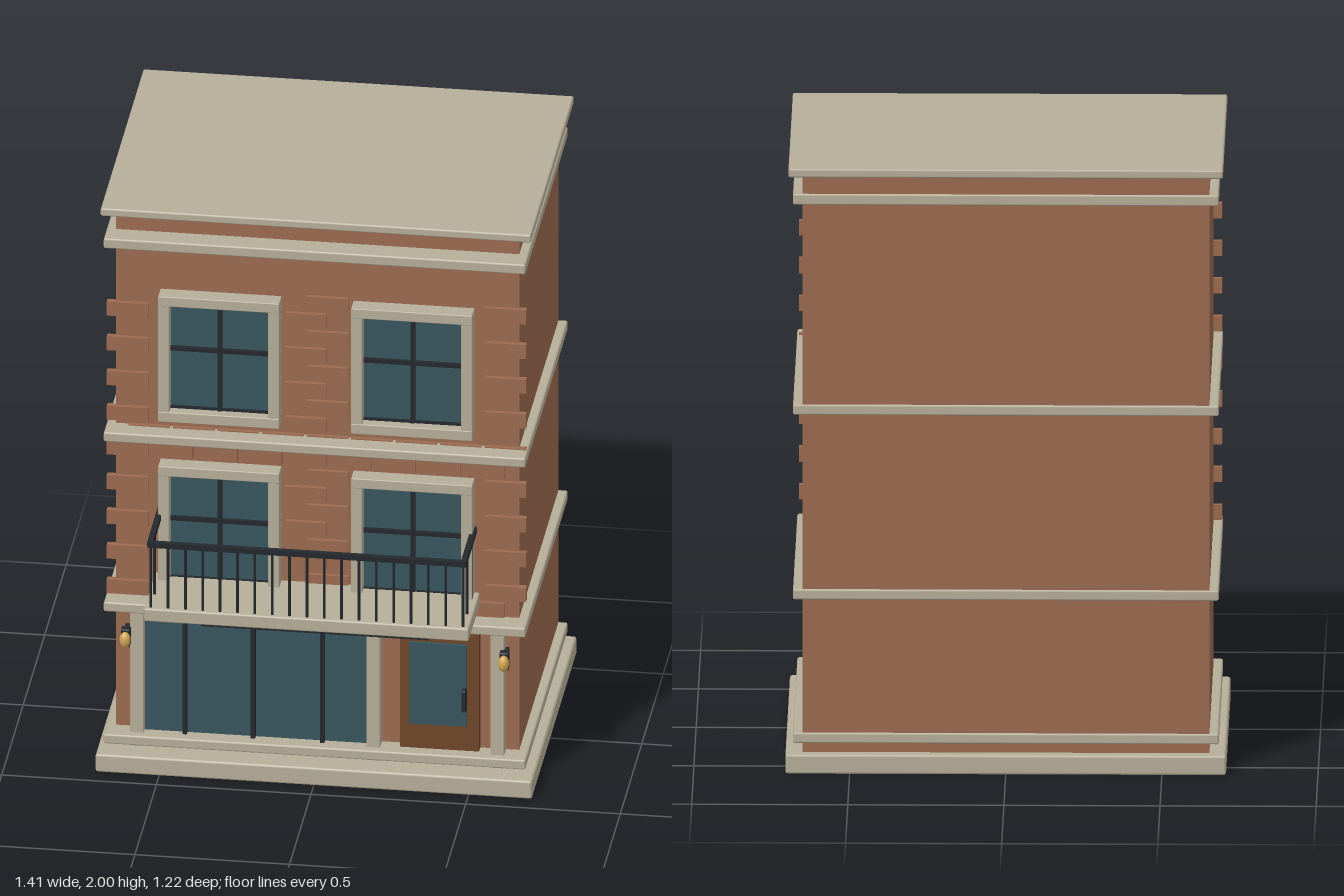
import * as THREE from 'three';
import { RoundedBoxGeometry } from 'three/addons/geometries/RoundedBoxGeometry.js';

const mat = (color) => new THREE.MeshStandardMaterial({ color });

export function createModel() {
  const brick = mat(0x9c6b50), stone = mat(0xb6ae99), glass = mat(0x38555e);
  const metal = mat(0x23292d), wood = mat(0x6e4729), gold = mat(0xd2a650);
  const root = new THREE.Group();
  root.name = 'townhouse';

  const group = (name, parent = root) => {
    const g = new THREE.Group();
    g.name = name;
    parent.add(g);
    return g;
  };
  const add = (parent, name, geometry, material, x = 0, y = 0, z = 0) => {
    const m = new THREE.Mesh(geometry, material);
    m.name = name;
    m.position.set(x, y, z);
    parent.add(m);
    return m;
  };
  // Box given by its extents; a bevel gives softened edges
  const box = (parent, name, material, [x0, x1], [y0, y1], [z0, z1], bevel = 0) => {
    const s = [x1 - x0, y1 - y0, z1 - z0];
    const geo = bevel ? new RoundedBoxGeometry(...s, 1, bevel) : new THREE.BoxGeometry(...s);
    return add(parent, name, geo, material, (x0 + x1) / 2, (y0 + y1) / 2, (z0 + z1) / 2);
  };

  // Main volume, plinth, string courses and roof
  box(root, 'walls', brick, [-0.652, 0.652], [0.05, 1.98], [-0.565, 0.346]);
  box(root, 'plinth', stone, [-0.706, 0.706], [0, 0.064], [-0.605, 0.44], 0.008);
  for (const [y0, y1] of [[0.094, 0.128], [0.568, 0.602], [1.178, 1.212], [1.872, 1.908]])
    box(root, 'stringCourse', stone, [-0.682, 0.682], [y0, y1], [-0.572, 0.42], 0.006);
  box(root, 'roofCap', stone, [-0.696, 0.696], [1.972, 2], [-0.61, 0.39], 0.006);

  // Raised facing bricks in staggered rows, left out around the windows
  const bricks = group('facingBricks');
  const brickGeo = new THREE.BoxGeometry(0.134, 0.05, 0.02);
  for (let row = 0; row < 18; row++) {
    const y = 0.605 + row * 0.0623;
    const besideWindow = (row > 0 && y < 1.09) || y > 1.21;
    for (let i = 0; i < 9; i++) {
      const x0 = -0.68 + (row % 2) * 0.07 + i * 0.144, x1 = x0 + 0.134;
      const hits = [-0.312, 0.312].some((c) => x1 > c - 0.196 && x0 < c + 0.196);
      if (!(besideWindow && hits)) add(bricks, 'brick', brickGeo, brick, x0 + 0.067, y + 0.025, 0.35);
    }
  }

  // Four framed windows with cross bars
  for (const y of [0.645, 1.255]) for (const x of [-0.312, 0.312]) {
    const w = group('window');
    w.position.set(x, y, 0);
    const z = [0.346, 0.404];
    box(w, 'windowPane', glass, [-0.162, 0.162], [0.034, 0.418], [0.34, 0.364]);
    for (const s of [-1, 1])
      box(w, 'frameSide', stone, [s * 0.178 - 0.018, s * 0.178 + 0.018], [0.03, 0.42], z, 0.003);
    box(w, 'frameHead', stone, [-0.196, 0.196], [0.415, 0.45], [0.346, 0.406], 0.003);
    box(w, 'frameSill', stone, [-0.196, 0.196], [0, 0.036], [0.346, 0.406], 0.003);
    box(w, 'verticalBar', metal, [-0.007, 0.007], [0.034, 0.418], [0.36, 0.376]);
    box(w, 'horizontalBar', metal, [-0.162, 0.162], [0.244, 0.258], [0.36, 0.376]);
    box(w, 'bottomRail', metal, [-0.162, 0.162], [0.034, 0.044], [0.36, 0.372]);
  }

  // Shopfront: pilasters, large glazing, fascia panel
  const shop = group('shopfront');
  for (const x of [-0.578, 0.186, 0.587])
    box(shop, 'pilaster', stone, [x - 0.022, x + 0.022], [0.08, 0.57], [0.34, 0.392], 0.003);
  box(shop, 'shopGlass', glass, [-0.557, 0.165], [0.128, 0.545], [0.34, 0.366]);
  for (const x of [-0.425, -0.204, 0.02])
    box(shop, 'shopMullion', metal, [x - 0.007, x + 0.007], [0.128, 0.54], [0.36, 0.384]);
  box(shop, 'fascia', metal, [-0.37, 0.366], [0.528, 0.57], [0.346, 0.4]);

  // Door
  const door = group('door');
  box(door, 'doorLeaf', wood, [0.27, 0.526], [0.125, 0.545], [0.34, 0.376]);
  box(door, 'doorGlass', glass, [0.302, 0.488], [0.22, 0.51], [0.36, 0.388]);
  box(door, 'doorHandle', metal, [0.474, 0.489], [0.282, 0.358], [0.385, 0.412], 0.004);

  // Wall lamps
  const bulbGeo = new THREE.SphereGeometry(1, 16, 12).scale(0.018, 0.028, 0.018);
  for (const x of [-0.612, 0.612]) {
    const lamp = group('wallLamp');
    box(lamp, 'lampArm', metal, [x - 0.009, x + 0.009], [0.475, 0.495], [0.34, 0.4]);
    box(lamp, 'lampBody', metal, [x - 0.015, x + 0.015], [0.445, 0.507], [0.387, 0.418], 0.004);
    add(lamp, 'lampBulb', bulbGeo, gold, x, 0.472, 0.42);
  }

  // Balcony slab and railing
  const balcony = group('balcony');
  box(balcony, 'balconySlab', stone, [-0.525, 0.525], [0.64, 0.686], [0.346, 0.612], 0.006);
  const barGeo = new THREE.CylinderGeometry(0.0045, 0.0045, 0.23, 8);
  const bar = (x, z) => add(balcony, 'baluster', barGeo, metal, x, 0.797, z);
  for (let i = 0; i <= 18; i++) bar(-0.505 + (i * 1.01) / 18, 0.596);
  box(balcony, 'frontRail', metal, [-0.516, 0.516], [0.903, 0.921], [0.587, 0.605]);
  for (const s of [-1, 1]) {
    box(balcony, 'sideRail', metal, [s * 0.507 - 0.009, s * 0.507 + 0.009], [0.903, 0.921], [0.346, 0.59]);
    for (const z of [0.394, 0.504]) bar(s * 0.505, z);
  }
  return root;
}
